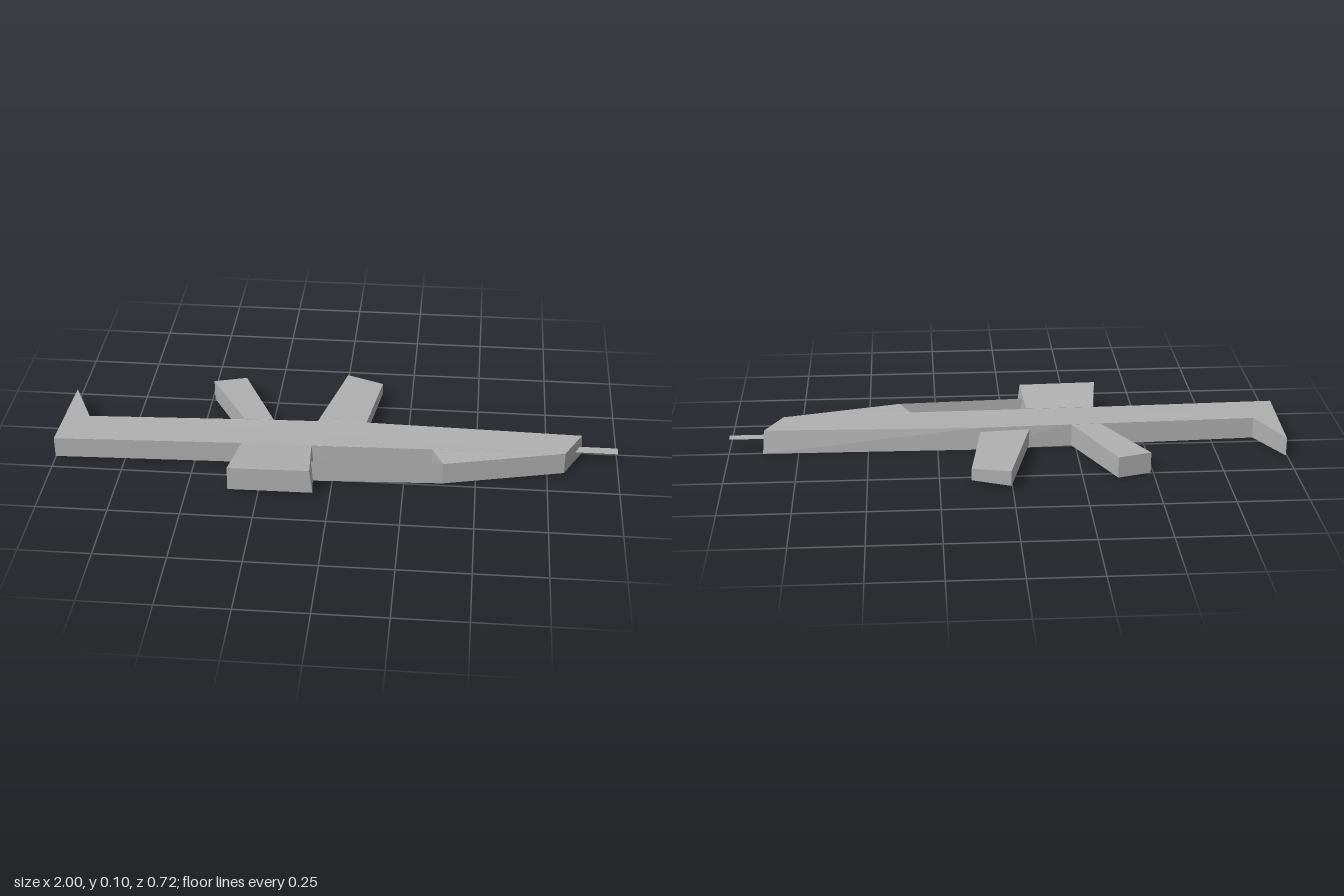
import * as THREE from 'three';

const grey = new THREE.MeshStandardMaterial({ color: 0xb0b0b0, side: THREE.DoubleSide, flatShading: true });
grey.name = 'plain grey';

function meshFrom(name, positions) {
  const geometry = new THREE.BufferGeometry();
  geometry.setAttribute('position', new THREE.Float32BufferAttribute(positions, 3));
  geometry.computeVertexNormals();
  const mesh = new THREE.Mesh(geometry, grey);
  mesh.name = name;
  return mesh;
}

// Hollow shell: a top sheet and side walls, open underneath.
// Points run anticlockwise seen from above: [x, z, top y, bottom y, bottom x, bottom z]
function shell(name, points) {
  const top = points.map(([x, z, y]) => [x, y, z]);
  const bottom = points.map(([x, z, , y, bx = x, bz = z]) => [bx, y, bz]);
  const positions = [];
  const outline = points.map(([x, z]) => new THREE.Vector2(x, -z));
  for (const [i, j, k] of THREE.ShapeUtils.triangulateShape(outline, [])) {
    const area = THREE.ShapeUtils.area([outline[i], outline[j], outline[k]]);
    const order = area > 0 ? [i, j, k] : [i, k, j];
    order.forEach((n) => positions.push(...top[n]));
  }
  points.forEach((_, i) => {
    const j = (i + 1) % points.length;
    positions.push(...bottom[i], ...bottom[j], ...top[j], ...bottom[i], ...top[j], ...top[i]);
  });
  return meshFrom(name, positions);
}

// Single flat sheet with four corners
function sheet(name, a, b, c, d) {
  return meshFrom(name, [...a, ...b, ...c, ...a, ...c, ...d]);
}

export function createModel() {
  const model = new THREE.Group();
  model.name = 'model';

  // Long body with the pointed end fin and tapered nose
  model.add(shell('body', [
    [-1, 0.19, 0.08, 0.005],
    [-0.33, 0.165, 0.082, 0.002],
    [-0.08, 0.16, 0.082, 0.001],
    [0.345, 0.15, 0.083, 0.001],
    [0.385, 0.238, 0.082, 0.001],
    [0.81, 0.135, 0.082, 0.001],
    [0.872, 0.013, 0.083, 0, 0.878, -0.004],
    [0.1, -0.008, 0.083, 0, 0.1, -0.014],
    [-0.23, 0.003, 0.083, 0],
    [-0.905, 0.03, 0.08, 0.002],
    [-0.99, -0.155, 0.078, 0.01],
  ]));

  // Block projecting forward, rising towards its end
  model.add(shell('frontBlock', [
    [-0.33, 0.165, 0.083, 0.002],
    [-0.355, 0.36, 0.103, 0.016],
    [-0.07, 0.353, 0.102, 0.013, -0.06, 0.353],
    [-0.082, 0.16, 0.083, 0.001, -0.075, 0.16],
  ]));

  // Two arms projecting backward
  model.add(shell('slantedArm', [
    [-0.34, 0.005, 0.083, 0.001],
    [-0.235, 0.002, 0.083, 0.001],
    [-0.372, -0.29, 0.08, 0.003],
    [-0.49, -0.255, 0.08, 0.003],
  ]));
  model.add(shell('straightArm', [
    [-0.082, -0.002, 0.071, 0.014],
    [0.095, -0.008, 0.067, 0.018],
    [0.14, -0.317, 0.064, 0.02],
    [0.005, -0.36, 0.07, 0.015],
  ]));

  // Upright strip linking the block to the nose
  model.add(sheet('guardStrip',
    [-0.068, 0.002, 0.262], [0.385, 0.001, 0.238], [0.385, 0.082, 0.238], [-0.075, 0.082, 0.262]));

  // Flat tongue at the nose
  model.add(sheet('noseTongue',
    [0.85, 0.045, 0.065], [1, 0.045, 0.065], [1, 0.045, 0.027], [0.865, 0.045, 0.027]));

  return model;
}
